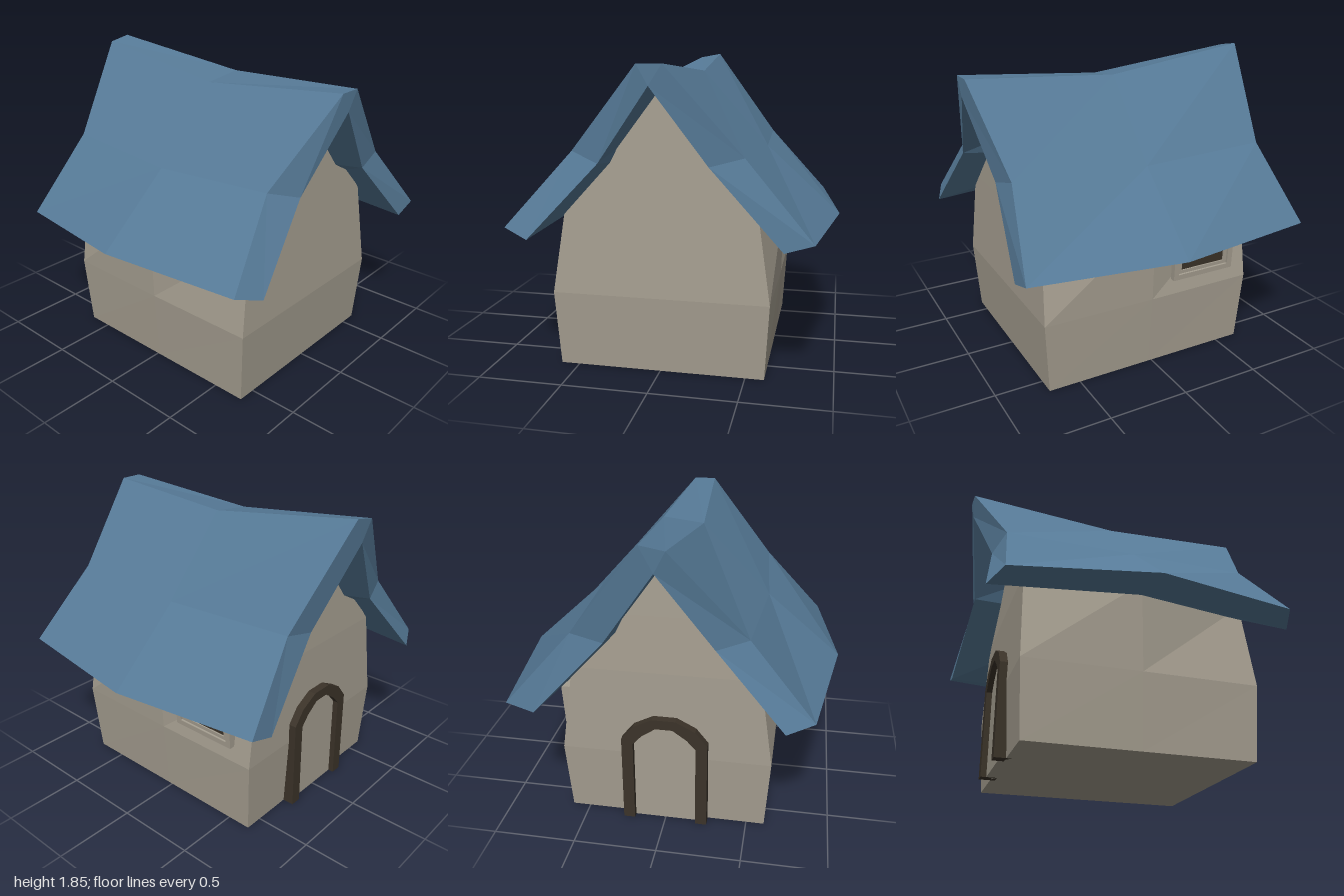
import * as THREE from 'three';

const mat = (name, color) => {
  const m = new THREE.MeshStandardMaterial({ color, flatShading: true });
  m.name = name;
  return m;
};

// Skin closed cross-sections (clockwise seen from +x, ordered by rising x)
// and close both ends with the given polygons of point indices.
function loft(rings, caps) {
  const pos = [];
  const poly = (p) => {
    for (let i = 1; i < p.length - 1; i++) pos.push(...p[0], ...p[i], ...p[i + 1]);
  };
  const n = rings[0].length;
  for (let r = 0; r < rings.length - 1; r++) {
    for (let i = 0; i < n; i++) {
      const j = (i + 1) % n;
      poly([rings[r][i], rings[r + 1][i], rings[r + 1][j], rings[r][j]]);
    }
  }
  for (const cap of caps) {
    poly(cap.map((i) => rings[0][i]));
    poly([...cap].reverse().map((i) => rings[rings.length - 1][i]));
  }
  const g = new THREE.BufferGeometry();
  g.setAttribute('position', new THREE.Float32BufferAttribute(pos, 3));
  g.computeVertexNormals();
  return g;
}

// Outline with an optional inner outline cut out, extruded along z
function plate(outer, inner, depth) {
  const pts = (a) => a.map(([x, y]) => new THREE.Vector2(x, y));
  const shape = new THREE.Shape(pts(outer));
  if (inner) shape.holes.push(new THREE.Path(pts(inner)));
  return new THREE.ExtrudeGeometry(shape, { depth, bevelEnabled: false });
}

const arch = (w, spring, top, base) => {
  const half = [[w, base], [w, spring], [w * 0.72, top - 0.06], [w * 0.27, top]];
  return [...half, ...half.map(([x, y]) => [-x, y]).reverse()];
};

const rect = (w, h) => [[-w, -h], [w, -h], [w, h], [-w, h]];

export function createModel() {
  const model = new THREE.Group();
  const plaster = mat('plaster', 0xa59e90);
  const slate = mat('blueRoof', 0x567a97);
  const wood = mat('darkWood', 0x3b3329);
  const add = (name, geometry, material, parent = model) => {
    const m = new THREE.Mesh(geometry, material);
    m.name = name;
    parent.add(m);
    return m;
  };

  // Walls: bulging house section, wider at the middle of the long sides
  const wallRing = (xs, zs) => {
    const ys = [0, 0.45, 1.0, 1.35, 1.66];
    const front = ys.map((y, i) => [xs[i], y, zs[i]]);
    const back = front.slice(0, 4).map(([x, y, z]) => [x, y, -z]).reverse();
    return [...front, ...back];
  };
  const endZ = [0.61, 0.637, 0.555, 0.28, 0];
  const midX = [0.02, 0.02, 0.02, 0.02, 0.02];
  const walls = [
    wallRing([-0.65, -0.675, -0.665, -0.645, -0.625], endZ),
    wallRing(midX, [0.61, 0.642, 0.66, 0.2, 0]),
    wallRing([0.7, 0.73, 0.7, 0.68, 0.665], endZ),
  ];
  for (const i of [3, 5]) walls[1][i][1] = 1.3;
  walls[1][4][1] = 1.6;
  add('walls', loft(walls, [[0, 1, 7, 8], [1, 2, 6, 7], [2, 3, 5, 6], [3, 4, 5]]), plaster);

  // Roof: sagging ridge, pinched gable ends, thick flared eaves.
  // Points run: outer eave, bend and ridge, over the back, then the underside.
  const roof = [
    [[-0.82, 0.85, 0.87], [-0.765, 1.3, 0.49], [-0.93, 1.825, 0.065],
      [-0.93, 1.85, -0.075], [-0.815, 1.29, -0.5], [-0.895, 0.86, -0.88],
      [-0.895, 0.81, -0.72], [-0.83, 1.25, -0.31], [-0.92, 1.7, 0],
      [-0.82, 1.25, 0.31], [-0.895, 0.81, 0.71]],
    [[0.015, 0.88, 1.0], [0.015, 1.268, 0.54], [0.015, 1.705, 0.12],
      [0.015, 1.735, -0.13], [0.015, 1.27, -0.54], [0.015, 0.85, -1.0],
      [0.015, 0.835, -0.8], [0.015, 1.17, -0.2], [0.015, 1.58, 0],
      [0.015, 1.17, 0.2], [0.015, 0.845, 0.8]],
    [[0.86, 0.86, 0.87], [0.76, 1.297, 0.49], [0.925, 1.78, 0.065],
      [0.925, 1.78, -0.075], [0.835, 1.29, -0.5], [0.925, 0.86, -0.88],
      [0.925, 0.81, -0.72], [0.86, 1.24, -0.31], [0.925, 1.665, 0],
      [0.85, 1.24, 0.31], [0.925, 0.81, 0.71]],
  ];
  add('roof', loft(roof, [[2, 3, 8], [1, 2, 8, 9], [0, 1, 9, 10], [3, 4, 7, 8], [4, 5, 6, 7]]), slate);

  // Arched door on the -x gable
  const door = new THREE.Group();
  door.name = 'door';
  door.rotation.y = -Math.PI / 2;
  door.position.x = -0.62;
  model.add(door);
  const frame = arch(0.26, 0.57, 0.72, 0);
  const opening = arch(0.19, 0.54, 0.66, 0);
  // Open-bottomed frame: outer outline, then back along the opening
  add('doorFrame', plate([...frame, ...opening.reverse()], null, 0.1), wood, door);
  add('doorPanel', plate(opening, null, 0.065), plaster, door);

  // Window on the back wall, leaning out slightly
  const win = new THREE.Group();
  win.name = 'window';
  win.rotation.set(-0.06, Math.PI, 0, 'YXZ');
  win.position.set(-0.335, 0.675, -0.59);
  win.rotation.x = 0.06;
  model.add(win);
  add('windowFrame', plate(rect(0.215, 0.125), rect(0.18, 0.092), 0.075), plaster, win);
  add('windowInnerFrame', plate(rect(0.19, 0.1), rect(0.155, 0.07), 0.062), plaster, win);
  add('windowPane', plate(rect(0.16, 0.075), null, 0.008), wood, win).position.z = 0.046;

  return model;
}
